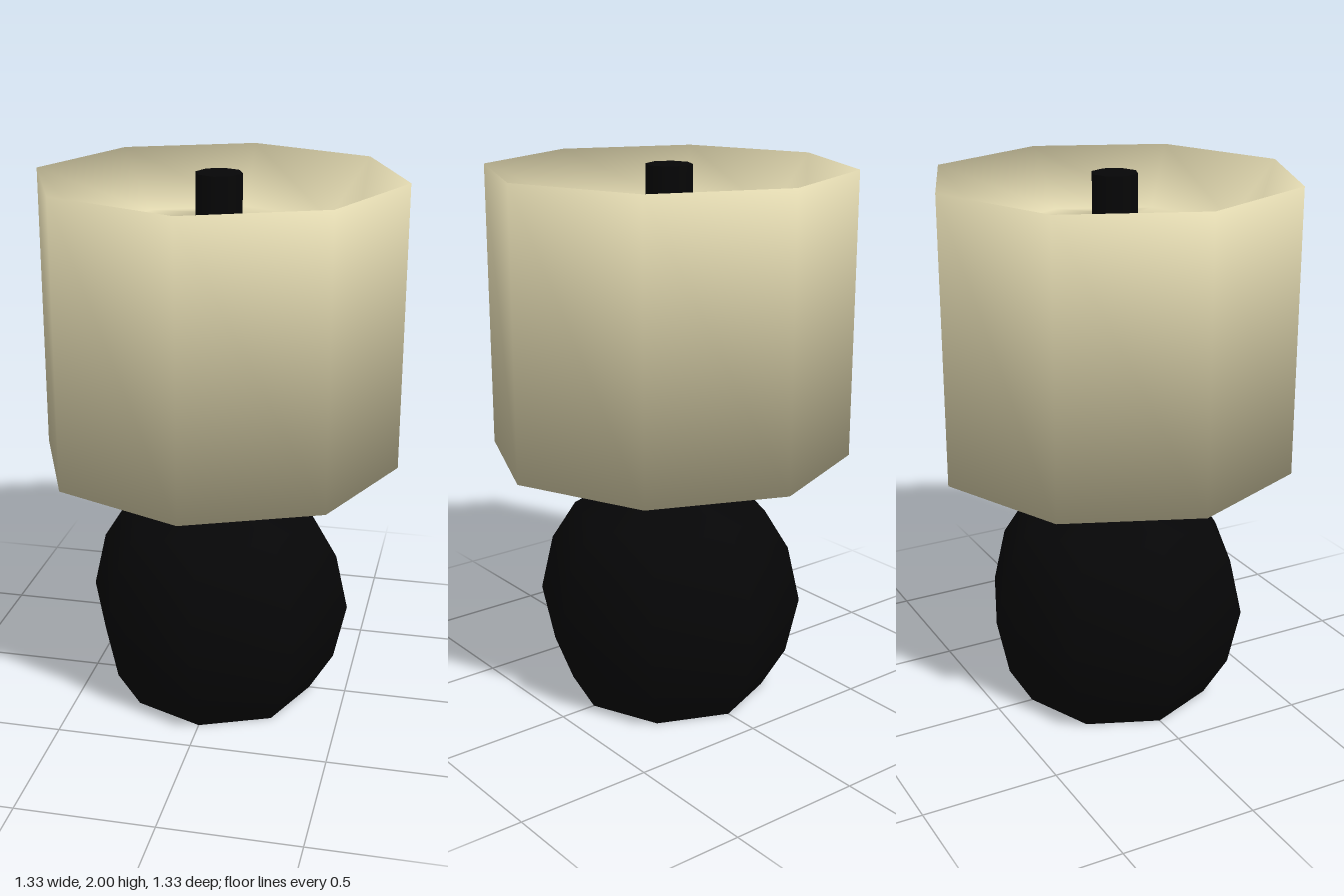
import * as THREE from 'three';

const SIDES = 8;

// Eight-sided turned solid with soft normals: each profile corner
// averages the bands that meet there, wider bands pulling a little harder.
function turned(points) {
  const profile = points.map(([r, y]) => new THREE.Vector2(r, y));
  const geometry = new THREE.LatheGeometry(profile, SIDES);
  const bands = profile.slice(1).map((p, j) => {
    const d = p.clone().sub(profile[j]);
    d.setLength(Math.pow(d.length(), 0.25));
    return new THREE.Vector2(d.y, -d.x);
  });
  const soft = profile.map((_, j) => {
    const n = new THREE.Vector2();
    if (j > 0) n.add(bands[j - 1]);
    if (j < bands.length) n.add(bands[j]);
    return n.normalize();
  });
  const normal = geometry.attributes.normal;
  for (let i = 0; i < normal.count; i++) {
    const n = soft[i % profile.length];
    const a = (Math.floor(i / profile.length) / SIDES) * Math.PI * 2;
    normal.setXYZ(i, n.x * Math.sin(a), n.y, n.x * Math.cos(a));
  }
  return geometry;
}

export function createModel() {
  const cream = new THREE.MeshStandardMaterial({ color: 0xe0d7af });
  cream.name = 'cream fabric';
  const black = new THREE.MeshStandardMaterial({ color: 0x060607 });
  black.name = 'black ceramic';

  const lamp = new THREE.Group();
  lamp.name = 'tableLamp';
  const add = (name, geometry, material) => {
    const mesh = new THREE.Mesh(geometry, material);
    mesh.name = name;
    lamp.add(mesh);
    return mesh;
  };
  const addPost = (name, radius, bottom, top) => {
    const post = new THREE.CylinderGeometry(radius, radius, top - bottom, SIDES);
    add(name, post, black).position.y = (bottom + top) / 2;
  };

  // Rounded base with a flat foot
  add('base', turned([
    [0, 0], [0.36, 0], [0.45, 0.15], [0.497, 0.365], [0.45, 0.575], [0.36, 0.72], [0.068, 0.815],
  ]), black);

  // Stem below the shade and the wider cap above it
  addPost('stem', 0.068, 0.79, 1.2);
  addPost('cap', 0.084, 1.76, 2.0);

  // Drum shade, dished at both ends; its collars hide inside the stem and cap
  add('shade', turned([
    [0.06, 1.11], [0.064, 1.13], [0.48, 1.17], [0.664, 0.952],
    [0.664, 1.99], [0.48, 1.78], [0.08, 1.845], [0.076, 1.865],
  ]), cream);

  return lamp;
}
